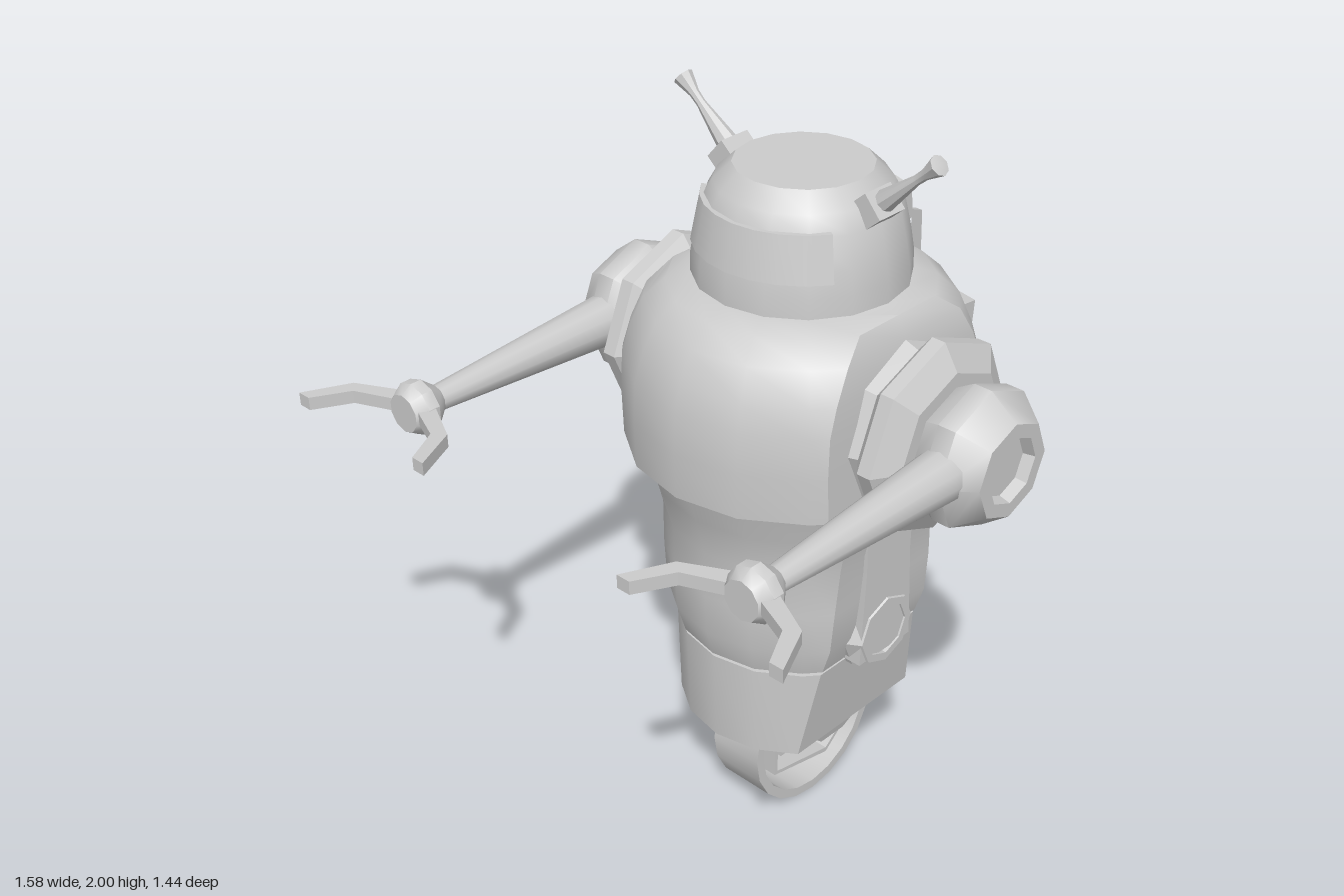
import * as THREE from 'three';
import { toCreasedNormals } from 'three/addons/utils/BufferGeometryUtils.js';

const mat = new THREE.MeshStandardMaterial({ color: 0xcccccc });
const matDouble = new THREE.MeshStandardMaterial({ color: 0xcccccc, side: THREE.DoubleSide });
const ZC = -0.215; // z of the body axis
const v2 = (pts) => pts.map(([x, y]) => new THREE.Vector2(x, y));

export function createModel() {
  const root = new THREE.Group();

  function add(name, geo, pos = [0, 0, 0], rot = [0, 0, 0], material = mat, crease = 0.6) {
    const mesh = new THREE.Mesh(toCreasedNormals(geo, crease), material);
    mesh.name = name;
    mesh.position.set(...pos);
    mesh.rotation.set(...rot);
    root.add(mesh);
    return mesh;
  }
  const lathe = (pts, segs, start = 0, sweep = Math.PI * 2) => new THREE.LatheGeometry(v2(pts), segs, start, sweep);

  // Round section with both sides sliced flat; profile entries are [radius, y, half width]
  function slicedLathe(profile, segs) {
    const geo = lathe(profile, segs);
    const p = geo.attributes.position;
    for (let i = 0; i < p.count; i++) {
      const [r, , lim] = profile[i % profile.length];
      const x = p.getX(i), z = p.getZ(i);
      if (Math.abs(x) <= lim) continue;
      p.setX(i, Math.sign(x) * lim);
      if (Math.abs(z) > 0.01) p.setZ(i, Math.sign(z) * Math.sqrt(r * r - lim * lim));
    }
    return geo;
  }

  // Flat outline (u, v) extruded symmetrically by depth along its own z
  function plate(pts, depth, hole) {
    const shape = new THREE.Shape(v2(pts));
    if (hole) shape.holes.push(new THREE.Path(v2(hole)));
    return new THREE.ExtrudeGeometry(shape, { depth, bevelEnabled: false }).translate(0, 0, -depth / 2);
  }

  // Thin strip of constant width following an open 2D path
  function strip(path, width, depth) {
    const pts = v2(path), left = [], right = [];
    pts.forEach((p, i) => {
      const a = pts[Math.max(i - 1, 0)], b = pts[Math.min(i + 1, pts.length - 1)];
      const d = b.clone().sub(a).normalize();
      left.push([p.x - d.y * width / 2, p.y + d.x * width / 2]);
      right.unshift([p.x + d.y * width / 2, p.y - d.x * width / 2]);
    });
    return plate([...left, ...right], depth);
  }

  // Head with flat crown
  add('head', lathe([[0, 1.58], [0.27, 1.58], [0.268, 1.66], [0.258, 1.72], [0.24, 1.8], [0.215, 1.845], [0.17, 1.888], [0, 1.89]], 16), [0, 0, ZC]);
  add('visor', lathe([[0.235, 1.695], [0.268, 1.695], [0.245, 1.81], [0.21, 1.81], [0.235, 1.695]], 8, -1, 2), [0, 0, ZC], [0, 0, 0], matDouble);

  // Upper shell and lower body
  add('upperShell', slicedLathe([
    [0, 1.16, 1], [0.442, 1.16, 0.343], [0.445, 1.28, 0.342], [0.44, 1.39, 0.34], [0.42, 1.46, 0.335],
    [0.385, 1.54, 0.325], [0.33, 1.59, 0.3], [0.27, 1.61, 0.27], [0, 1.61, 1]], 16), [0, 0, ZC]);
  add('lowerBody', slicedLathe([
    [0, 0.622, 1], [0.32, 0.622, 0.26], [0.342, 0.7, 0.285], [0.348, 0.82, 0.294], [0.348, 0.95, 0.3],
    [0.375, 1.06, 0.325], [0.41, 1.17, 0.34], [0, 1.17, 1]], 16), [0, 0, ZC]);

  // Base skirt, hollow underneath
  add('baseSkirt', slicedLathe([
    [0, 0.42, 1], [0.27, 0.42, 0.2], [0.285, 0.345, 0.195], [0.31, 0.345, 0.215], [0.316, 0.61, 0.255], [0, 0.61, 1]], 16), [0, 0, ZC]);

  // Wheel: wide thin rim with bent inner frames, drawn in the (-z, y) plane
  const sideways = [0, Math.PI / 2, 0];
  add('wheelRim', lathe([[0.208, -0.08], [0.235, -0.08], [0.235, 0.08], [0.208, 0.08], [0.208, -0.08]], 20).rotateZ(-Math.PI / 2), [0, 0.24, ZC]);
  add('outerWheelFrame', strip([[0.08, 0.37], [0.08, 0.13], [0.29, 0.085], [0.355, 0.14], [0.355, 0.37]], 0.014, 0.12), [0, 0, 0], sideways);
  add('innerWheelFrame', strip([[0.12, 0.35], [0.12, 0.165], [0.315, 0.165], [0.315, 0.35]], 0.014, 0.09), [0, 0, 0], sideways);
  add('wheelStrut', plate([[0.185, 0.25], [0.235, 0.25], [0.218, 0.225], [0.24, 0.195], [0.175, 0.205], [0.202, 0.225]], 0.05), [0, 0, 0], sideways);

  // Back pack, rear head box (both with a folded rear face) and the pipe between them
  const folded = (w, t, fold, h) =>
    plate([[-w, 0], [0, -fold], [w, 0], [w, t], [0, t - fold], [-w, t]], h).rotateX(Math.PI / 2);
  add('backPack', folded(0.19, 0.085, 0.045, 0.21), [0, 1.315, -0.66], [-0.1, 0, 0]);
  add('rearHeadBox', folded(0.128, 0.07, 0.035, 0.085), [0, 1.74, -0.468], [0.12, 0, 0]);
  add('backPipe', strip([[0.47, 1.71], [0.505, 1.665], [0.655, 1.61], [0.662, 1.38]], 0.02, 0.02), [0, 0, 0], sideways);

  for (const s of [1, -1]) {
    const side = s > 0 ? 'left' : 'right';
    const onX = [0, 0, -s * Math.PI / 2];
    const shoulder = [0, 1.315, ZC];

    // Antenna and its socket
    const tilt = [0, 0, -s * 0.85];
    add(side + 'AntennaSocket', new THREE.BoxGeometry(0.07, 0.075, 0.09), [s * 0.218, 1.835, ZC], tilt);
    add(side + 'Antenna', lathe([[0, 0], [0.03, 0], [0.03, 0.035], [0.012, 0.17], [0.013, 0.2], [0.026, 0.25], [0, 0.255]], 8), [s * 0.205, 1.825, ZC], tilt);

    // Shoulder: collar, eight-sided disc, ball with sunken cap
    add(side + 'ShoulderCollar', lathe([[0, 0.28], [0.235, 0.28], [0.2, 0.385], [0, 0.385]], 8), shoulder, onX, mat, 0.3);
    add(side + 'ShoulderDisc', lathe([[0, 0.37], [0.215, 0.37], [0.255, 0.402], [0.255, 0.44], [0.19, 0.48], [0, 0.48]], 8), shoulder, onX, mat, 0.3);
    add(side + 'ShoulderBall', lathe([[0, 0.46], [0.14, 0.46], [0.182, 0.53], [0.182, 0.58], [0.125, 0.655], [0.088, 0.655], [0.08, 0.625], [0, 0.625]], 8), shoulder, onX, mat, 0.75);

    // Tapered arm, wrist and two bent claws
    const armX = s * 0.555;
    add(side + 'Arm', lathe([[0, -0.13], [0.07, -0.13], [0.066, -0.05], [0.032, 0.5], [0, 0.5]], 12).rotateX(Math.PI / 2), [armX, 1.325, 0]);
    add(side + 'Wrist', lathe([[0, 0.49], [0.036, 0.49], [0.069, 0.53], [0.069, 0.56], [0.05, 0.59], [0, 0.59]], 10).rotateX(Math.PI / 2), [armX, 1.325, 0]);
    for (const c of [1, -1]) {
      add(side + (c === s ? 'OuterClaw' : 'InnerClaw'),
        plate([[0.03, 0.55], [0.062, 0.54], [0.178, 0.6], [0.235, 0.72], [0.198, 0.72], [0.147, 0.625], [0.03, 0.575]]
          .map(([x, z]) => [c * x, -z]), 0.034).rotateX(-Math.PI / 2), [armX, 1.328, 0]);
    }

    // Raised side strip and ring at the hip
    add(side + 'SideStrip', plate([[0.115, 0.62], [0.315, 0.62], [0.3, 0.9], [0.305, 1.16], [0.125, 1.16], [0.13, 0.9]], 0.06),
      [s * 0.28, 0, 0], sideways);
    add(side + 'HipRing', lathe([[0, 0.22], [0.122, 0.22], [0.122, 0.275], [0.098, 0.315], [0.075, 0.315], [0.068, 0.275], [0, 0.275]], 8),
      [0, 0.685, ZC], onX, mat, 0.3);

    // Fork plate leaning in beside the wheel
    add(side + 'Fork', plate([[0.13, 0.43], [0.3, 0.43], [0.3, 0.28], [0.26, 0.24], [0.17, 0.24], [0.13, 0.28]]
      .map(([z, y]) => [z, y - 0.24]), 0.03), [s * 0.13, 0.24, 0], [0, Math.PI / 2, -s * 0.25]);
  }
  // Fork plates turn sideways first, then lean
  root.children.filter((m) => m.name.endsWith('Fork')).forEach((m) => { m.rotation.order = 'ZYX'; });
  return root;
}
